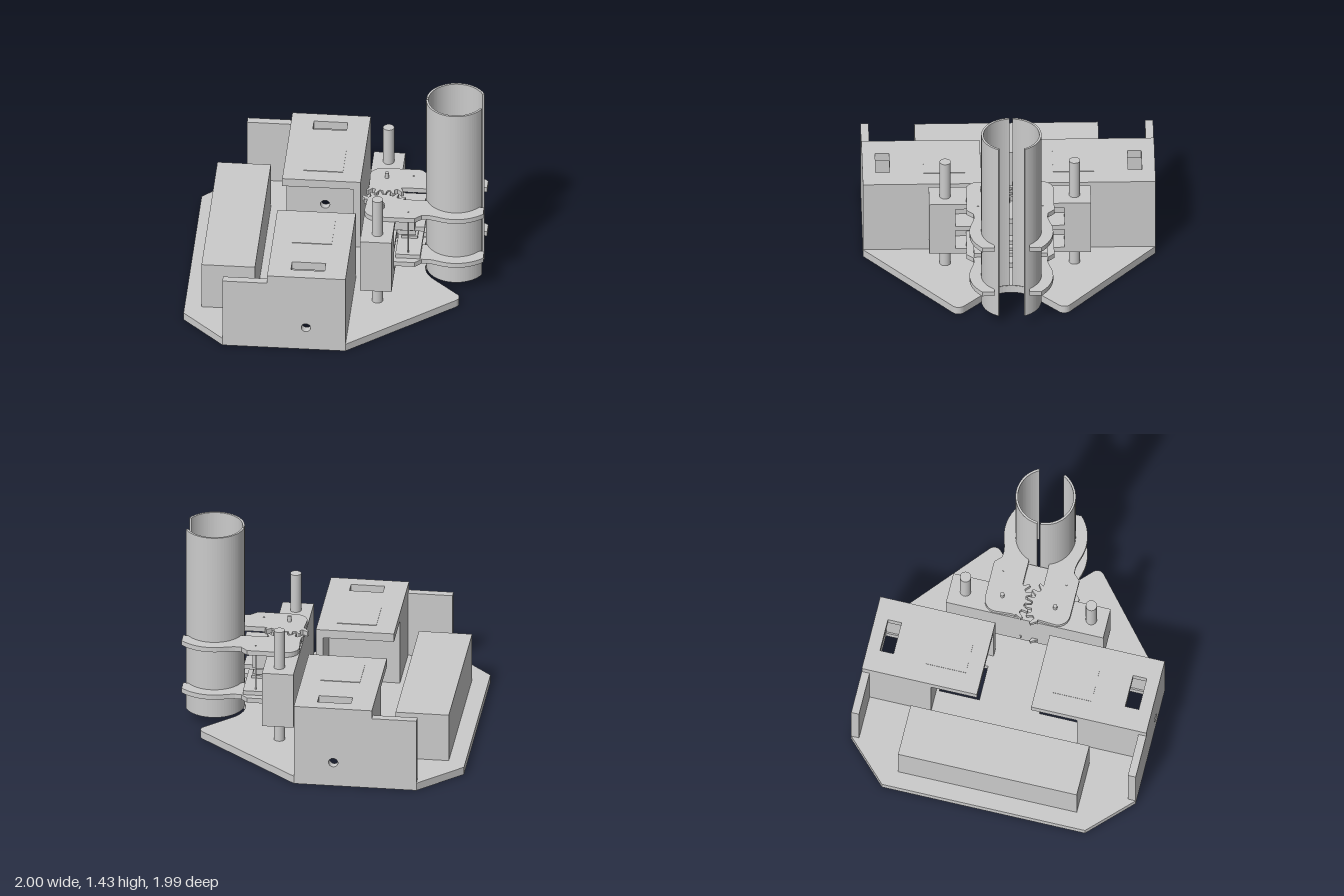
import * as THREE from 'three';

const mat = new THREE.MeshStandardMaterial({ color: 0xcccccc, side: THREE.DoubleSide });
const rad = Math.PI / 180;

export function createModel() {
  const root = new THREE.Group();

  const add = (name, geo) => {
    const mesh = new THREE.Mesh(geo, mat);
    mesh.name = name;
    root.add(mesh);
    return mesh;
  };
  // box given by its limits; s mirrors it in z
  const box = (name, x0, x1, y0, y1, z0, z1, s = 1) =>
    add(name, new THREE.BoxGeometry(x1 - x0, y1 - y0, z1 - z0))
      .position.set((x0 + x1) / 2, (y0 + y1) / 2, s * (z0 + z1) / 2);
  const rod = (name, x, z, r, y0, y1) =>
    add(name, new THREE.CylinderGeometry(r, r, y1 - y0, 24)).position.set(x, (y0 + y1) / 2, z);
  // points on an arc in the x-z plane, angles in degrees
  const arc = (cx, cz, r, a0, a1, n = 8) => Array.from({ length: n + 1 }, (_, i) => {
    const a = (a0 + (a1 - a0) * i / n) * rad;
    return [cx + r * Math.cos(a), cz + r * Math.sin(a)];
  });
  const rect = (x0, x1, z0, z1) => [[x0, z0], [x1, z0], [x1, z1], [x0, z1]];
  // flat plate from an x-z outline
  const plate = (name, pts, y0, y1, holes = []) => {
    const vec = (list) => list.map(([x, z]) => new THREE.Vector2(x, -z));
    const shape = new THREE.Shape(vec(pts));
    for (const h of holes) shape.holes.push(new THREE.Path(vec(h)));
    const geo = new THREE.ExtrudeGeometry(shape, { depth: y1 - y0, bevelEnabled: false });
    add(name, geo.rotateX(-Math.PI / 2).translate(0, y0, 0));
  };
  const flip = (pts) => pts.map(([x, z]) => [x, -z]);
  // upright wall in the x-y plane with a round axle hole
  const wall = (name, pts, z0, z1, s) => {
    const shape = new THREE.Shape(pts.map(([x, y]) => new THREE.Vector2(x, y)));
    const hole = new THREE.Path();
    hole.absarc(-0.14, 0.175, 0.032, 0, Math.PI * 2, true);
    shape.holes.push(hole);
    const geo = new THREE.ExtrudeGeometry(shape, { depth: z1 - z0, bevelEnabled: false, curveSegments: 16 });
    add(name, geo.translate(0, 0, s > 0 ? z0 : -z1));
  };

  // base plate with wheel and motor openings and a notch for the tube
  const half = [
    ...arc(0.8, 0, 0.21, 180, 135, 6),
    ...arc(0.8, 0.36, 0.05, -45, 50, 8),
    [0.13, 0.995], [-0.71, 0.995], [-1, 0.71],
  ];
  const openings = [rect(-0.32, 0.07, 0.58, 0.94), rect(-0.25, 0.0, 0.21, 0.49)];
  plate('basePlate', [...half, ...flip(half).reverse().slice(0, -1)], 0, 0.055,
    [...openings, ...openings.map(flip)]);

  box('batteryBox', -0.885, -0.52, 0.055, 0.4, -0.625, 0.625);

  // gear rim: teeth along the side of the claw that faces the other claw
  const gear = (phase) => {
    const pts = [];
    const step = 18;
    for (let a = -144 + phase; a < -46; a += step) {
      for (const [da, r] of [[0, 0.163], [4, 0.165], [7, 0.206], [11, 0.206], [14, 0.165]]) {
        const t = (a + da) * rad;
        pts.push([0.31 + r * Math.cos(t), 0.188 + r * Math.sin(t)]);
      }
    }
    return pts;
  };
  const claw = (phase) => [
    ...gear(phase),
    [0.43, 0.07], [0.6, 0.07],
    ...arc(0.8, 0, 0.205, 159, 38, 20),
    [0.97, 0.12], [1, 0.12], [1, 0.19],
    ...arc(0.8, 0, 0.285, 45, 105, 10),
    [0.67, 0.258], [0.63, 0.25], [0.585, 0.253],
    [0.54, 0.298],
    ...arc(0.28, 0.21, 0.088, 90, 180, 6),
    [0.2, 0.09],
  ];

  for (const s of [1, -1]) {
    const side = s > 0 ? 'left' : 'right';
    const m = (pts) => (s > 0 ? pts : flip(pts));

    // wheel housing
    wall(side + 'OuterWall', [[-0.71, 0.055], [0.13, 0.055], [0.13, 0.525], [-0.71, 0.525]], 0.94, 0.995, s);
    wall(side + 'InnerWall', [[-0.405, 0.055], [0.08, 0.055], [0.08, 0.525], [-0.405, 0.525]], 0.51, 0.56, s);
    box(side + 'FrontWall', 0.08, 0.13, 0.055, 0.525, 0.19, 0.94, s);
    box(side + 'RearWall', -0.405, -0.355, 0.055, 0.525, 0.56, 0.94, s);
    plate(side + 'Roof', m(rect(-0.405, 0.13, 0.19, 0.995)), 0.525, 0.585,
      [m(rect(-0.25, -0.02, 0.81, 0.905))]);
    box(side + 'RoofPad', -0.27, 0, 0.585, 0.589, 0.3, 0.58, s);

    // gripper frame ends and guide posts
    box(side + 'FrameEnd', 0.19, 0.405, 0.2, 0.6, 0.37, 0.55, s);
    rod(side + 'LowerPost', 0.3, s * 0.44, 0.038, 0.055, 0.2);
    rod(side + 'UpperPost', 0.3, s * 0.44, 0.038, 0.6, 0.88);

    // geared claws at two levels, meshing half a tooth apart
    for (const [level, y0] of [['Lower', 0.245], ['Upper', 0.605]])
      plate(side + level + 'Claw', m(claw(s > 0 ? 0 : 9)), y0, y0 + 0.035);
    rod(side + 'PivotPin', 0.31, s * 0.185, 0.014, 0.24, 0.68);
    rod(side + 'SmallPin', 0.49, s * 0.22, 0.006, 0.245, 0.645);

    // gripper half tube
    plate(side + 'HalfTube', m([
      ...arc(0.8, 0, 0.205, 26, 177, 32), ...arc(0.8, 0, 0.19, 177, 26, 32),
    ]), 0.07, 1.43);
  }

  // gripper frame between the ends: back panel and three shelves
  box('frameBack', 0.19, 0.25, 0.2, 0.6, -0.37, 0.37);
  for (const [y0, y1] of [[0.2, 0.24], [0.385, 0.42], [0.56, 0.6]]) {
    box('frameRail', 0.25, 0.405, y0, y1, -0.37, 0.37);
    box('frameShelf', 0.405, 0.59, y0, y1, -0.07, 0.07);
  }

  // servo with its shaft and horn
  box('servoBody', 0.25, 0.525, 0.42, 0.54, -0.12, 0.12);
  box('servoFoot', 0.405, 0.525, 0.345, 0.385, -0.06, 0.06);
  rod('servoShaft', 0.485, 0, 0.02, 0.28, 0.345);
  box('servoHorn', 0.43, 0.54, 0.31, 0.33, -0.05, 0.05);
  box('hornLink', 0.405, 0.575, 0.28, 0.31, -0.25, 0.25);

  return root;
}
